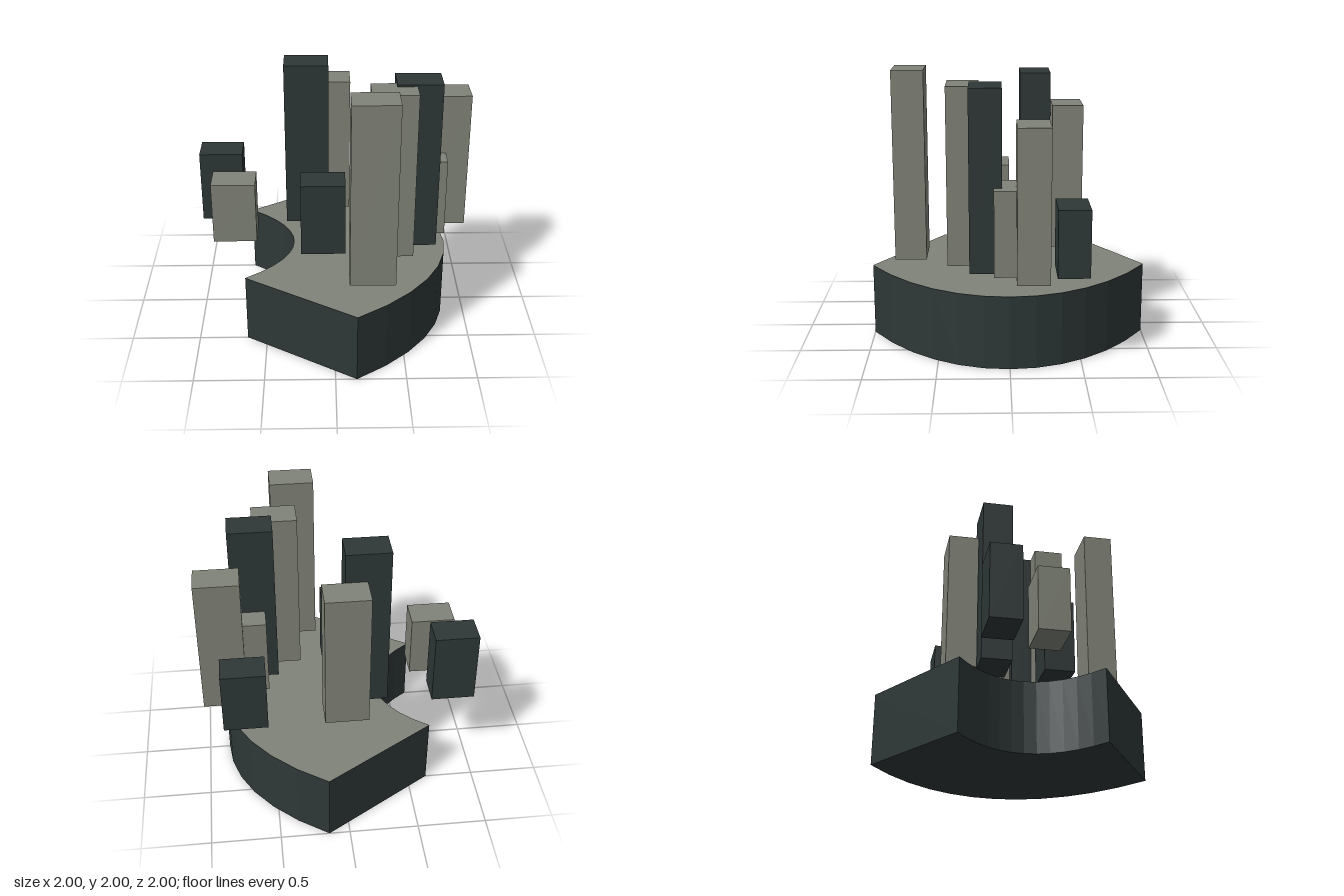
import * as THREE from 'three';

export function createModel() {
  const model = new THREE.Group();
  const stone = new THREE.MeshStandardMaterial({ color: 0x808378 });
  stone.name = 'stone grey';
  const slate = new THREE.MeshStandardMaterial({ color: 0x2e3737 });
  slate.name = 'dark slate';

  const add = (name, geometry, material, parent = model) => {
    const mesh = new THREE.Mesh(geometry, material);
    mesh.name = name;
    parent.add(mesh);
    return mesh;
  };

  // Crescent plinth: bulging outer arc towards +x, shallow hollow towards -x
  const crescent = new THREE.Shape();
  crescent.moveTo(0.15, -1);
  crescent.bezierCurveTo(1.077, -0.44, 1.077, 0.44, 0.15, 1);
  crescent.lineTo(-0.645, 0.5);
  crescent.bezierCurveTo(-0.185, 0.2, -0.185, -0.2, -0.645, -0.5);
  crescent.closePath();

  const height = 0.525;
  const body = new THREE.ExtrudeGeometry(crescent, { depth: height, bevelEnabled: false, curveSegments: 12 });
  add('plinth', body.rotateX(-Math.PI / 2), slate);

  // Pale top face of the plinth
  const top = new THREE.ShapeGeometry(crescent, 12).rotateX(-Math.PI / 2);
  add('plinthTop', top, stone).position.y = height + 0.002;

  // Floating columns: centre x, centre z, top height, material
  const columns = new THREE.Group();
  columns.name = 'columns';
  model.add(columns);
  const bottom = 0.657;
  [
    [-0.84, -0.253, 1.205, slate],
    [-0.73, 0.091, 1.125, stone],
    [-0.195, -0.2, 1.925, slate],
    [-0.03, -0.428, 1.71, stone],
    [-0.08, 0.278, 1.21, slate],
    [0.26, 0.695, 2.0, stone],
    [0.41, 0.32, 1.91, stone],
    [0.59, 0.164, 1.923, slate],
    [0.67, -0.003, 1.255, stone],
    [0.84, -0.154, 1.705, stone],
    [0.7, -0.43, 1.13, slate],
  ].forEach(([x, z, peak, material], i) => {
    const box = new THREE.BoxGeometry(0.32, peak - bottom, 0.222);
    add(`column${i + 1}`, box, material, columns).position.set(x, (peak + bottom) / 2, z);
  });

  return model;
}
